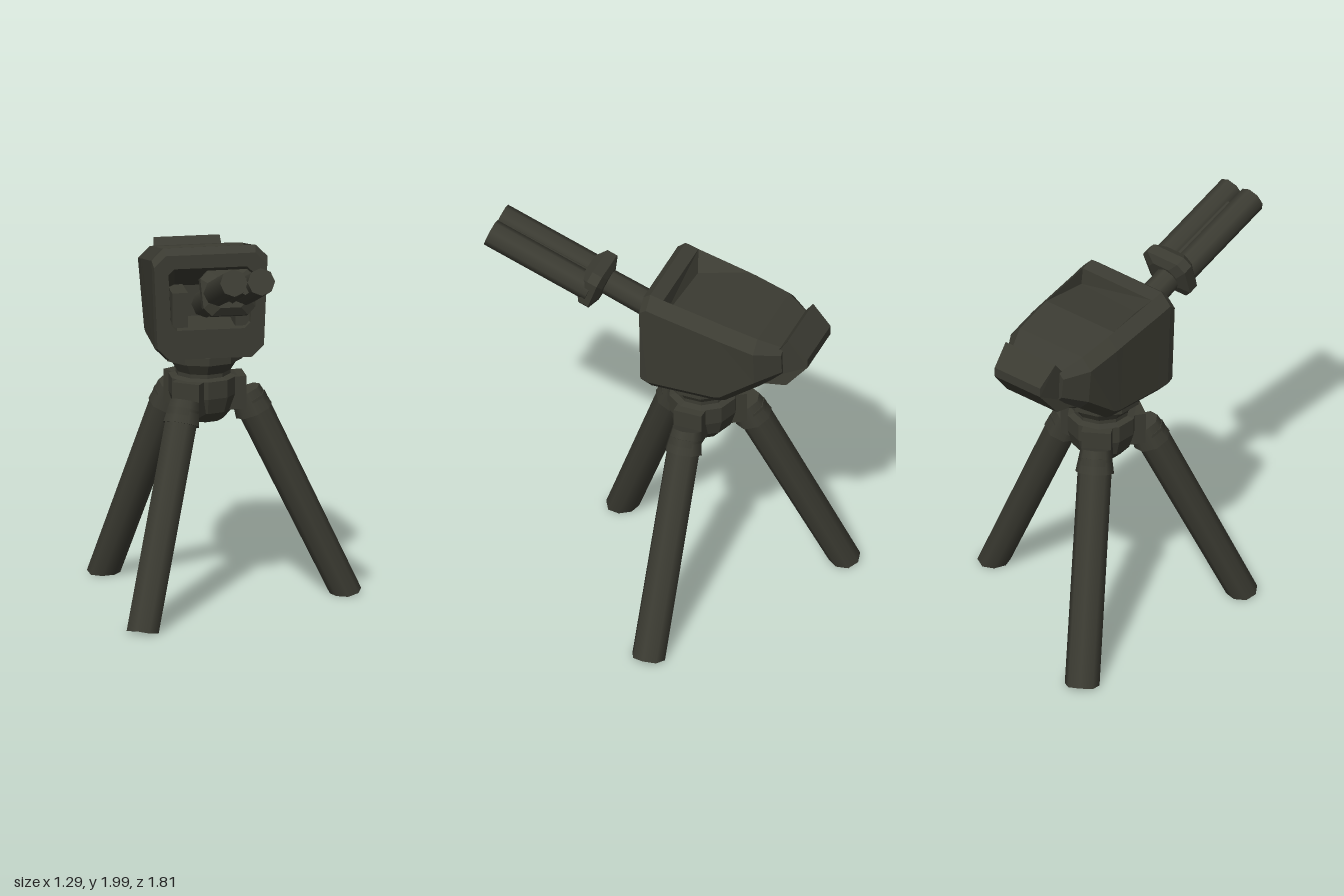
import * as THREE from 'three';

const V = (x, y, z) => new THREE.Vector3(x, y, z);
const CX = -0.155, CZ = -0.22; // turret axis

// Faceted geometry from a list of corner triples
function faceted(points, faces) {
  const g = new THREE.BufferGeometry().setFromPoints(points);
  g.setIndex(faces);
  const flat = g.toNonIndexed();
  flat.computeVertexNormals();
  return flat;
}

// Skin over rings running from back to front, each counter-clockwise seen from +z
function loft(rings, skip = () => false) {
  const n = rings[0].length, faces = [], last = (rings.length - 1) * n;
  for (let i = 0; i < rings.length - 1; i++) {
    for (let j = 0; j < n; j++) {
      if (skip(i, j)) continue;
      const a = i * n + j, b = i * n + (j + 1) % n;
      faces.push(a, b, b + n, a, b + n, a + n);
    }
  }
  for (let j = 1; j < n - 1; j++) {
    faces.push(0, j + 1, j, last, last + j, last + j + 1);
  }
  return faceted(rings.flat(), faces);
}

// Chamfered rectangle, a little narrower at the bottom
function ring(z, hw, y0, y1, c, x = CX + 0.002) {
  const b = hw * 0.94;
  return [[b - c, y0], [b, y0 + c], [hw, y1 - c], [hw - c, y1],
    [c - hw, y1], [-hw, y1 - c], [-b, y0 + c], [c - b, y0]].map(([px, py]) => V(x + px, py, z));
}

export function createModel() {
  const model = new THREE.Group();
  model.name = 'tripodTurret';
  const olive = new THREE.MeshStandardMaterial({ color: 0x3b3b32 });
  olive.name = 'darkOlive';
  const oliveOpen = olive.clone();
  oliveOpen.side = THREE.DoubleSide;

  const add = (name, geo, parent = model, mat = olive) => {
    const m = new THREE.Mesh(geo, mat);
    m.name = name;
    parent.add(m);
    return m;
  };
  // Tapered rod between two points
  const rod = (name, a, b, ra, rb, sides, parent) => {
    const d = b.clone().sub(a);
    const g = new THREE.CylinderGeometry(rb, ra, d.length(), sides);
    g.applyQuaternion(new THREE.Quaternion().setFromUnitVectors(V(0, 1, 0), d.normalize()));
    g.translate(...a.clone().add(b).multiplyScalar(0.5).toArray());
    return add(name, g, parent);
  };

  // Three splayed legs with knuckles and brackets
  [0, 124, -124].forEach((deg, i) => {
    const leg = new THREE.Group();
    leg.name = 'leg' + (i + 1);
    leg.position.set(CX, 0, CZ);
    leg.rotation.y = THREE.MathUtils.degToRad(deg);
    model.add(leg);
    const shaft = rod('legShaft', V(0.725, -0.01, 0), V(0.235, 1.04, 0), 0.088, 0.086, 8, leg);
    const p = shaft.geometry.attributes.position;
    for (let k = 0; k < p.count; k++) p.setY(k, Math.max(p.getY(k), 0.005));
    rod('legKnuckle', V(0.26, 0.97, 0), V(0.215, 1.08, 0), 0.098, 0.078, 8, leg);
    const bracket = add('legBracket', new THREE.BoxGeometry(0.14, 0.17, 0.15), leg);
    bracket.position.set(0.14, 1.085, 0);
  });

  // Hub, neck and turntable
  const hub = [[0, 0.945], [0.1, 0.945], [0.15, 1.0], [0.175, 1.08], [0.175, 1.17], [0.14, 1.18],
    [0.14, 1.2], [0.175, 1.255], [0.2, 1.26], [0.2, 1.3], [0.18, 1.32], [0, 1.32]];
  const hubGeo = new THREE.LatheGeometry(hub.map(([r, y]) => new THREE.Vector2(r, y)), 10).toNonIndexed();
  hubGeo.computeVertexNormals();
  add('hub', hubGeo).position.set(CX, 0, CZ);

  // Gun housing: outer shell, then inwards through the front opening
  const sections = [
    ring(-0.72, 0.19, 1.52, 1.69, 0.03),
    ring(-0.6, 0.27, 1.44, 1.745, 0.06),
    ring(-0.42, 0.285, 1.31, 1.79, 0.06),
    ring(-0.38, 0.286, 1.3, 1.8, 0.06),
    ring(-0.1, 0.293, 1.3, 1.862, 0.06),
    ring(-0.03, 0.295, 1.3, 1.88, 0.06),
    ring(0.01, 0.288, 1.31, 1.85, 0.06),
    ring(0.01, 0.215, 1.46, 1.78, 0.03),
    ring(-0.2, 0.18, 1.48, 1.64, 0.03),
  ];
  add('housing', loft(sections, (i, j) => i === 3 && j === 3));

  // Sloping well in the roof behind the front rim
  const [br, bl] = [sections[3][3], sections[3][4]];
  const [fr, fl] = [sections[4][3], sections[4][4]];
  const lr = V(fr.x, 1.775, -0.11), ll = V(fl.x + 0.08, 1.775, -0.13);
  add('roofWell', faceted([br, bl, fl, fr, lr, ll],
    [1, 5, 4, 1, 4, 0, 2, 4, 5, 2, 3, 4, 2, 5, 1, 3, 0, 4]), model, oliveOpen);

  // Blocks on both sides of the breech
  for (const s of [-1, 1]) {
    const block = add('breechBlock', new THREE.BoxGeometry(0.08, 0.18, 0.18));
    block.position.set(CX + 0.01 + s * 0.16, 1.56, -0.1);
  }

  // Rear stock block
  const stock = new THREE.Shape([[0.55, 1.44], [0.74, 1.47], [0.85, 1.6], [0.85, 1.65], [0.75, 1.75],
    [0.69, 1.67], [0.6, 1.64]].map(([x, y]) => new THREE.Vector2(x, y)));
  const stockGeo = new THREE.ExtrudeGeometry(stock, { depth: 0.35, bevelEnabled: false });
  stockGeo.rotateY(Math.PI / 2).translate(-0.325, 0, 0);
  const sp = stockGeo.attributes.position;
  for (let k = 0; k < sp.count; k++) {
    const t = Math.max(0, -sp.getZ(k) - 0.7) * 0.15; // narrows to the rear
    sp.setX(k, sp.getX(k) - Math.sign(sp.getX(k) - CX) * t);
  }
  stockGeo.computeVertexNormals();
  add('stock', stockGeo);

  // Small spur under the rear of the housing
  add('spur', loft([ring(-0.54, 0.05, 1.35, 1.37, 0.005), ring(-0.36, 0.12, 1.3, 1.37, 0.02)]));

  // Barrel assembly, raised towards the front
  const gun = new THREE.Group();
  gun.name = 'gun';
  model.add(gun);
  const at = (z, x = -0.145, dy = 0) => V(x, 1.612 + 0.358 * z + dy, z);
  rod('barrelSleeve', at(-0.2), at(0.32), 0.072, 0.066, 8, gun);
  const collar = [[-0.06, 0.075], [-0.035, 0.115], [0.02, 0.115], [0.06, 0.08]];
  const collarGeo = loft(collar.map(([z, h]) => ring(z, h * 1.22, -h, h, 0.04, 0)));
  const c = add('collar', collarGeo, gun);
  c.position.copy(at(0.345, -0.12));
  c.rotation.x = -Math.atan(0.358);
  for (const x of [-0.18, -0.04]) {
    rod('barrel', at(0.34, x), at(0.885, x), 0.07, 0.07, 8, gun);
  }
  rod('barrelBridge', at(0.34, -0.11, -0.01), at(0.8, -0.11, -0.01), 0.05, 0.045, 6, gun);

  return model;
}
